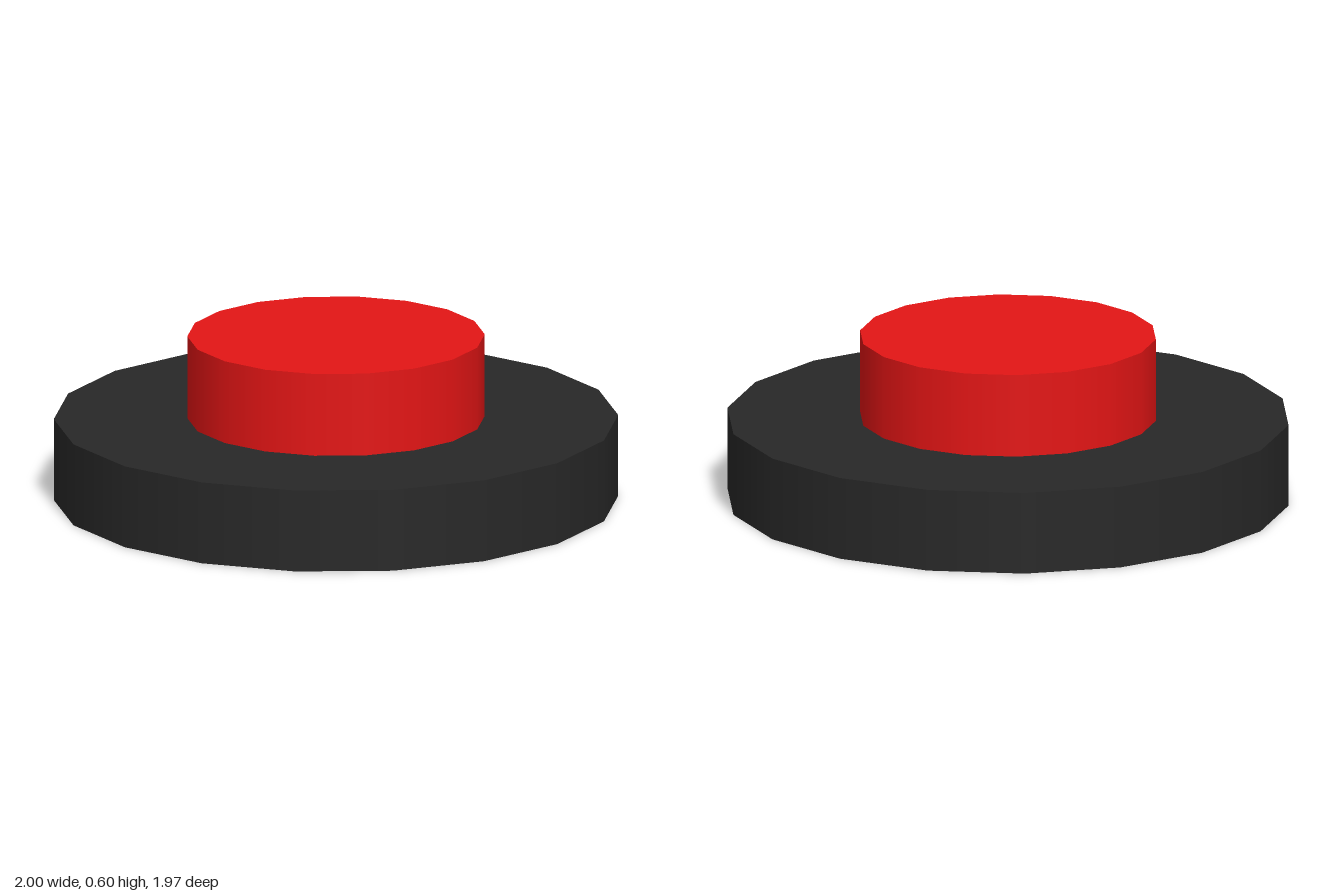
import * as THREE from 'three';

const SIDES = 18;

// Upright disc between two heights, with a corner on the x axis
function disc(name, radius, bottom, top, color) {
  const geometry = new THREE.CylinderGeometry(radius, radius, top - bottom, SIDES, 1, false, Math.PI / 2);
  geometry.translate(0, (bottom + top) / 2, 0);
  const mesh = new THREE.Mesh(geometry, new THREE.MeshStandardMaterial({ color }));
  mesh.name = name;
  return mesh;
}

export function createModel() {
  const group = new THREE.Group();
  group.name = 'pushButton';
  group.add(
    disc('base', 1, 0, 0.297, 0x282828), // wide dark housing
    disc('button', 0.527, 0.297, 0.597, 0xe41515) // raised red cap
  );
  return group;
}
